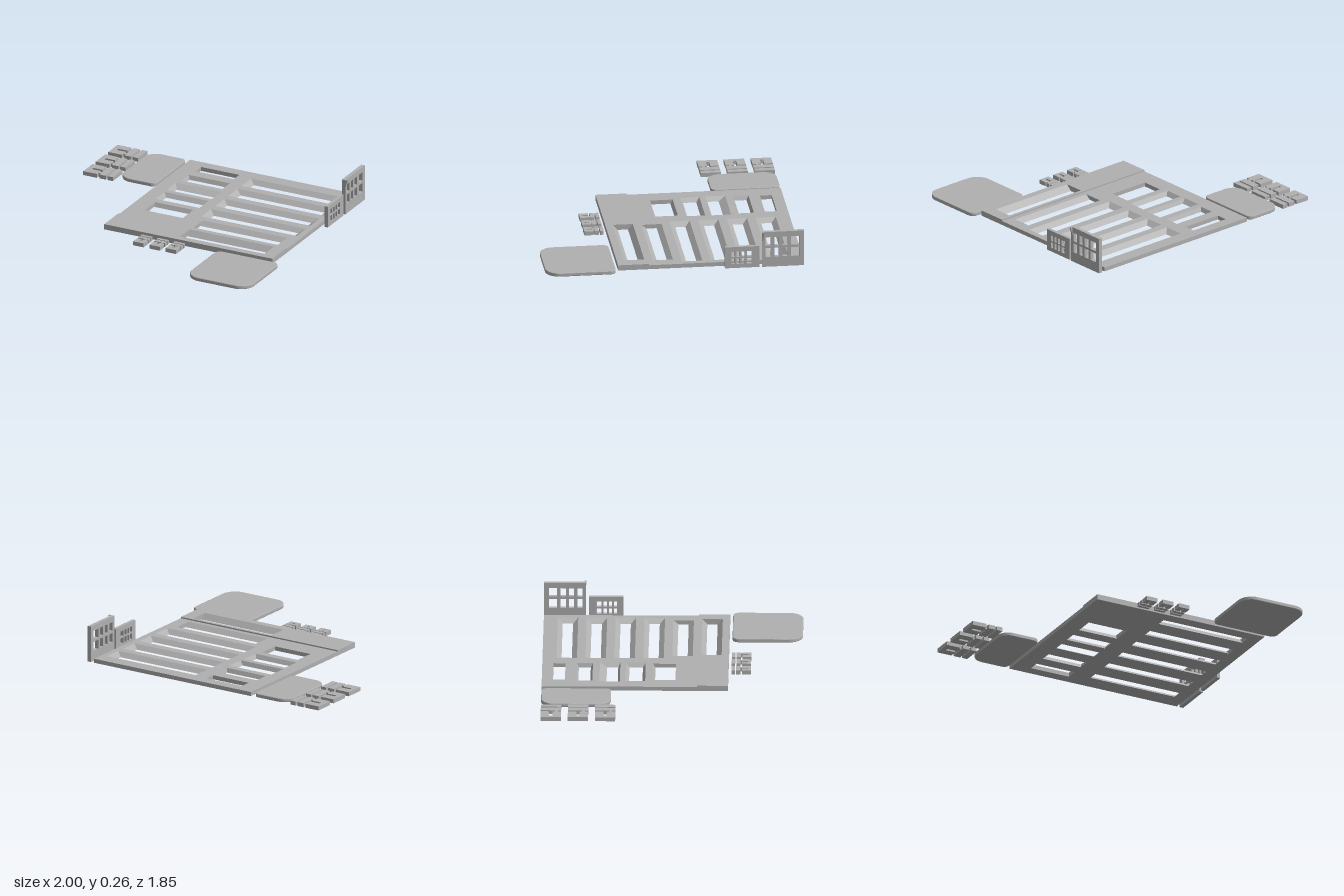
import * as THREE from 'three';

const grey = new THREE.MeshStandardMaterial({ color: 0xb0b0b0 });
grey.name = 'plain grey';

// Rectangles are [x0, z0, x1, z1]
const corners = ([x0, z0, x1, z1]) => [[x0, z0], [x1, z0], [x1, z1], [x0, z1]];

function part(group, name, geometry) {
  const mesh = new THREE.Mesh(geometry, grey);
  mesh.name = name;
  group.add(mesh);
  return mesh;
}

function box(group, name, [x0, z0, x1, z1], y0, y1) {
  part(group, name, new THREE.BoxGeometry(x1 - x0, y1 - y0, z1 - z0))
    .position.set((x0 + x1) / 2, (y0 + y1) / 2, (z0 + z1) / 2);
}

// Four walls between an upper and a lower rectangle
function walls(top, bottom, h, inward) {
  const t = corners(top), b = corners(bottom), p = [];
  for (let i = 0; i < 4; i++) {
    const j = (i + 1) % 4;
    let q = [[b[i][0], 0, b[i][1]], [t[i][0], h, t[i][1]], [t[j][0], h, t[j][1]], [b[j][0], 0, b[j][1]]];
    if (inward) q.reverse();
    for (const k of [0, 1, 2, 0, 2, 3]) p.push(...q[k]);
  }
  const g = new THREE.BufferGeometry();
  g.setAttribute('position', new THREE.Float32BufferAttribute(p, 3));
  g.computeVertexNormals();
  return g;
}

// Flat rectangle with rectangular holes, facing up or down
function face(rect, holes, up) {
  const s = up ? -1 : 1;
  const points = (r) => corners(r).map(([x, z]) => new THREE.Vector2(x, s * z));
  const shape = new THREE.Shape(points(rect));
  shape.holes = holes.map((r) => new THREE.Path(points(r)));
  return new THREE.ShapeGeometry(shape).rotateX(s * Math.PI / 2);
}

// Slab with openings that narrow towards the underside
function slab(name, rect, h, holes) {
  const g = new THREE.Group();
  g.name = name;
  part(g, 'topFace', face(rect, holes.map((o) => o.top), true)).position.y = h;
  part(g, 'underside', face(rect, holes.map((o) => o.bottom), false));
  part(g, 'outerEdge', walls(rect, rect, h, false));
  holes.forEach((o) => part(g, 'slopedOpening', walls(o.top, o.bottom, h, true)));
  return g;
}

// Rounded pad; back-left, back-right, front-right, front-left radii
function pad(group, name, [x0, z0, x1, z1], h, [bl, br, fr, fl]) {
  const e = 0.005, s = new THREE.Shape();
  x0 += e; x1 -= e;
  const back = -z0 - e, front = -z1 + e;
  s.moveTo(x0 + fl, front);
  s.lineTo(x1 - fr, front);
  s.absarc(x1 - fr, front + fr, fr, -Math.PI / 2, 0);
  s.lineTo(x1, back - br);
  s.absarc(x1 - br, back - br, br, 0, Math.PI / 2);
  s.lineTo(x0 + bl, back);
  s.absarc(x0 + bl, back - bl, bl, Math.PI / 2, Math.PI);
  s.lineTo(x0, front + fl);
  s.absarc(x0 + fl, front + fl, fl, Math.PI, Math.PI * 1.5);
  const g = new THREE.ExtrudeGeometry(s, {
    depth: h - 2 * e, bevelThickness: e, bevelSize: e, bevelSegments: 2, curveSegments: 10,
  });
  part(group, name, g.rotateX(-Math.PI / 2)).position.y = e;
}

// Upright plate with a window, drawn in (-z, y) and extruded along x
function uprightPlate(name, x0, x1, outer, window, bars) {
  const g = new THREE.Group();
  g.name = name;
  const pts = (r) => corners(r).map(([u, y]) => new THREE.Vector2(u, y));
  const s = new THREE.Shape(pts(outer));
  s.holes.push(new THREE.Path(pts(window)));
  part(g, 'windowFrame', new THREE.ExtrudeGeometry(s, { depth: x1 - x0, bevelEnabled: false })
    .rotateY(Math.PI / 2)).position.x = x0;
  // Plain lattice bars, as fractions of the window
  const [u0, v0, u1, v1] = window;
  for (const [a, b, c, d] of bars) {
    box(g, 'latticeBar', [x0, -(u0 + c * (u1 - u0)), x1, -(u0 + a * (u1 - u0))],
      v0 + b * (v1 - v0), v0 + d * (v1 - v0));
  }
  return g;
}

// Small slotted tile; rectangles are fractions of its footprint
function slottedTile(name, [x0, z0, x1, z1], pieces, h) {
  const g = new THREE.Group();
  g.name = name;
  const w = x1 - x0, d = z1 - z0;
  for (const [a, b, c, e] of pieces) {
    box(g, 'tileBlock', [x0 + a * w, z0 + b * d, x0 + c * w, z0 + e * d], 0, h);
  }
  return g;
}

export function createModel() {
  const model = new THREE.Group();
  model.name = 'slottedPanelKit';

  // Wide openings: four flared all round, two flared front and back only
  const wide = [];
  for (let i = 0; i < 6; i++) {
    const z = -0.825 + i * 0.2055;
    const bottom = [0.16, z + 0.035, 0.835, z + 0.108];
    const top = i < 4 ? [0.12, z, 0.88, z + 0.145] : [0.16, z, 0.835, z + 0.145];
    wide.push({ top, bottom });
  }
  // Narrow openings, each with its own flare
  const narrow = [
    [[-0.29, -0.845, 0.015, -0.76], [-0.29, -0.845, 0.015, -0.76]],
    [[-0.305, -0.68, 0.025, -0.565], [-0.29, -0.665, 0.015, -0.58]],
    [[-0.32, -0.515, 0.04, -0.37], [-0.29, -0.465, 0.015, -0.385]],
    [[-0.315, -0.33, 0.035, -0.19], [-0.29, -0.305, 0.015, -0.21]],
    [[-0.29, -0.137, 0.015, 0.025], [-0.29, -0.12, 0.015, 0.025]],
  ].map(([top, bottom]) => ({ top, bottom }));
  model.add(slab('mainPanel', [-0.42, -0.925, 0.925, 0.178], 0.03, [...narrow, ...wide.slice(0, 5)]));
  model.add(slab('raisedFrontPanel', [-0.42, 0.178, 0.925, 0.4], 0.04, wide.slice(5)));

  // Loose rounded pads
  pad(model, 'sidePad', [-0.74, -0.925, -0.445, -0.43], 0.028, [0.09, 0.035, 0.035, 0.09]);
  pad(model, 'frontPad', [0.495, 0.42, 0.995, 0.92], 0.028, [0.04, 0.04, 0.1, 0.1]);

  // Upright window plates beside the panel
  const lattice = [[0.16, 0, 0.26, 1], [0.4, 0, 0.5, 1], [0.66, 0, 0.76, 1], [0, 0.45, 1, 0.57]];
  model.add(uprightPlate('tallPlate', 0.95, 0.978, [0.625, 0, 0.925, 0.265], [0.65, 0.075, 0.89, 0.225], lattice));
  model.add(uprightPlate('lowPlate', 0.95, 0.975, [0.36, 0, 0.605, 0.16], [0.405, 0.03, 0.55, 0.125], lattice));

  // Curved lip at the top corner of the tall plate
  const lip = new THREE.Shape();
  lip.moveTo(0.975, 0.17);
  lip.quadraticCurveTo(0.98, 0.235, 0.996, 0.265);
  lip.lineTo(0.975, 0.265);
  part(model, 'cornerLip', new THREE.ExtrudeGeometry(lip, { depth: 0.012, bevelEnabled: false }))
    .position.z = -0.637;

  // Loose slotted tiles: three beside the panel and three in front
  const sidePieces = [[0, 0, 0.46, 0.42], [0, 0.42, 0.14, 0.58], [0, 0.58, 0.46, 1],
    [0.54, 0, 0.76, 1], [0.82, 0, 1, 1], [0.46, 0.7, 0.54, 0.84]];
  for (let i = 0; i < 3; i++) {
    const z = -0.925 + i * 0.193;
    model.add(slottedTile('sideTile', [-1, z, -0.762, z + 0.145], sidePieces, 0.03));
  }
  const frontPieces = sidePieces.map(([a, b, c, d]) => [b, 1 - c, d, 1 - a]);
  for (let i = 0; i < 3; i++) {
    const x = -0.107 + i * 0.13;
    model.add(slottedTile('frontTile', [x, 0.42, x + 0.085, 0.558], frontPieces, 0.03));
  }
  return model;
}
